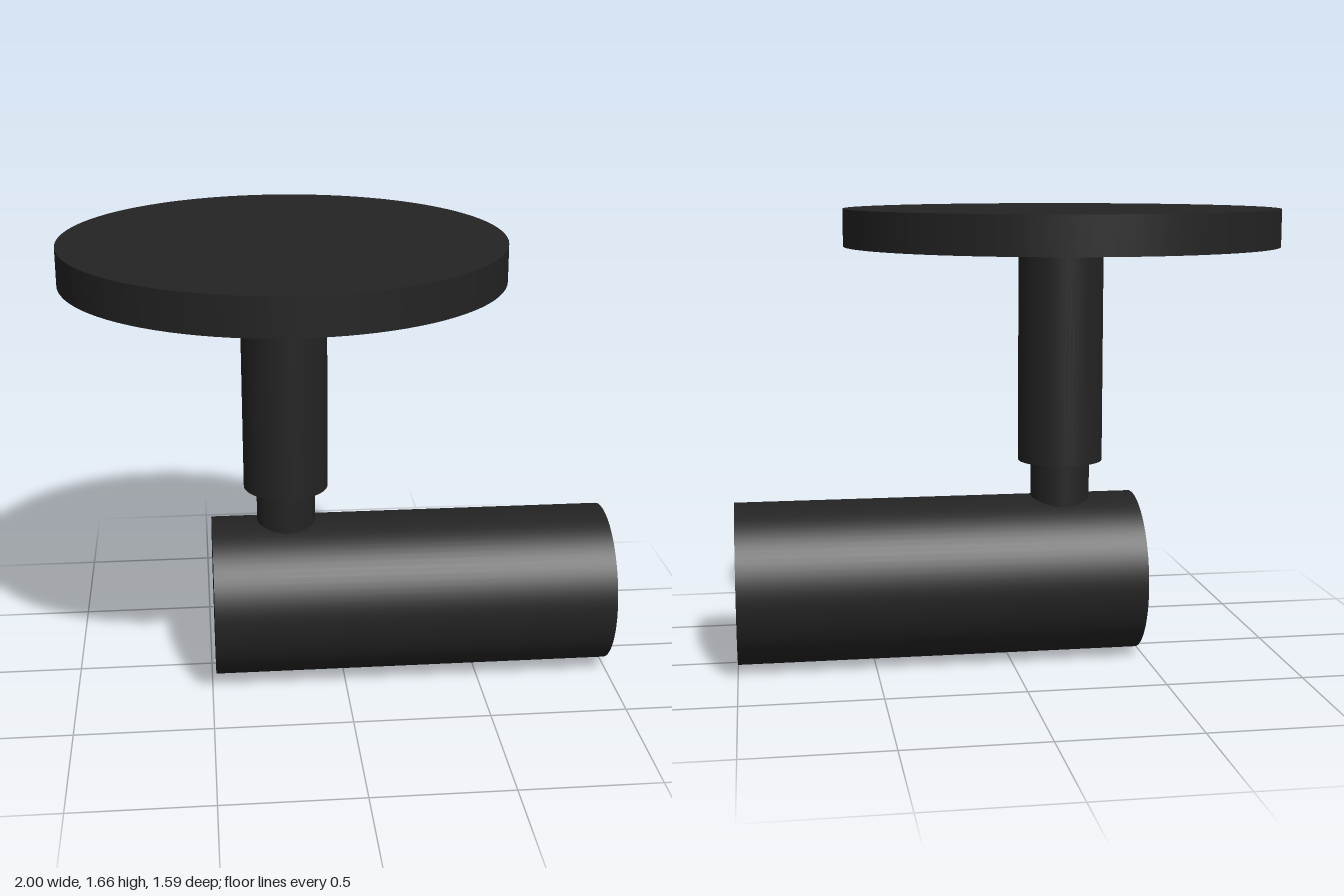
import * as THREE from 'three';

export function createModel() {
  const model = new THREE.Group();
  model.name = 'ceilingSpotlight';

  const black = new THREE.MeshStandardMaterial({ color: 0x232323 });
  black.name = 'matte black';
  const frosted = new THREE.MeshStandardMaterial({ color: 0xd2d2d2 });
  frosted.name = 'frosted lens';

  const axisX = -0.206; // vertical axis shared by canopy, stem and neck

  // Upright cylinder spanning two heights
  function post(name, radius, bottom, top, segments) {
    const geometry = new THREE.CylinderGeometry(radius, radius, top - bottom, segments);
    const mesh = new THREE.Mesh(geometry, black);
    mesh.name = name;
    mesh.position.set(axisX, (bottom + top) / 2, 0);
    model.add(mesh);
  }
  post('ceilingCanopy', 0.794, 1.525, 1.66, 96);
  post('stem', 0.156, 0.73, 1.53, 64);
  post('swivelNeck', 0.109, 0.5, 0.74, 48);

  // Lamp head lies along x; local +y is the light-emitting end
  const head = new THREE.Group();
  head.name = 'lampHead';
  head.position.set(-0.485, 0.297, 0.013);
  head.rotation.z = -Math.PI / 2;
  model.add(head);

  const length = 1.485, radius = 0.297, lensRadius = 0.227, recess = 0.03;

  const barrel = new THREE.Mesh(
    new THREE.CylinderGeometry(radius, radius, length, 80, 1, true), black);
  barrel.name = 'barrel';
  barrel.position.y = length / 2;
  head.add(barrel);

  const backCap = new THREE.Mesh(new THREE.CircleGeometry(radius, 80), black);
  backCap.name = 'backCap';
  backCap.rotation.x = Math.PI / 2;
  head.add(backCap);

  // Front bezel slopes gently inward to the lens
  const bezel = new THREE.Mesh(new THREE.LatheGeometry([
    new THREE.Vector2(radius, length),
    new THREE.Vector2(lensRadius, length - recess),
  ], 80), black);
  bezel.name = 'frontBezel';
  head.add(bezel);

  const lens = new THREE.Mesh(new THREE.CircleGeometry(lensRadius, 80), frosted);
  lens.name = 'lens';
  lens.rotation.x = -Math.PI / 2;
  lens.position.y = length - recess;
  head.add(lens);

  return model;
}
